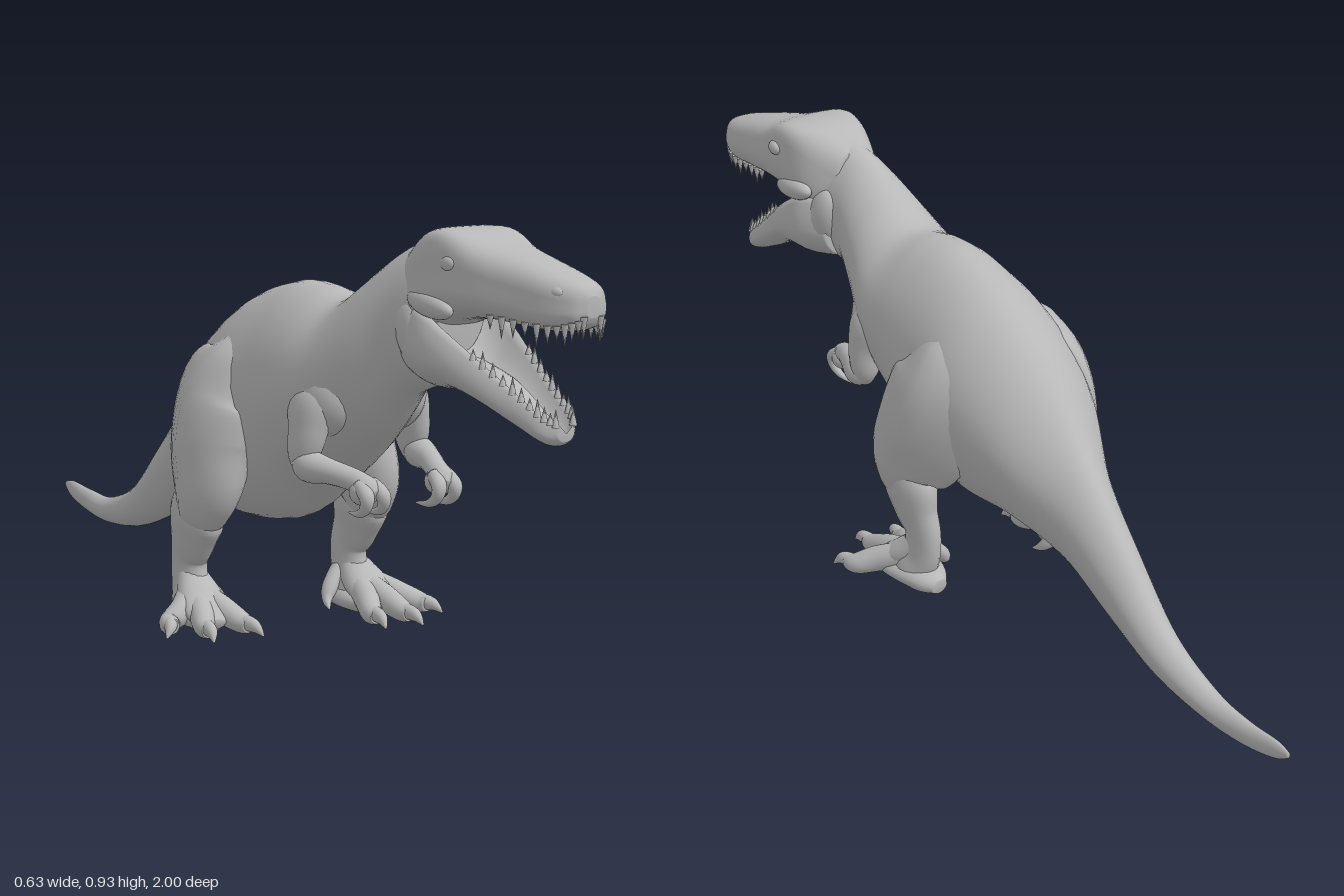
import * as THREE from 'three';

const hide = new THREE.MeshStandardMaterial({ color: 0xb8b8b8 });
hide.name = 'grey hide';

// Catmull-Rom sample of a table of sections, u from 0 to 1
function sample(rows, u) {
  const n = rows.length - 1;
  const i = Math.min(Math.floor(u * n), n - 1), t = u * n - i;
  const at = k => rows[Math.max(0, Math.min(n, k))];
  return rows[i].map((p1, k) => {
    const p0 = at(i - 1)[k], p2 = at(i + 1)[k], p3 = at(i + 2)[k];
    return p1 + 0.5 * t * (p2 - p0 + t * (2 * p0 - 5 * p1 + 4 * p2 - p3 + t * (3 * (p1 - p2) + p3 - p0)));
  });
}

const round = (c, s) => [c, s];

// Skin stretched over sections [x, y, z, side radius, other radius]
function loft(name, rows, { steps = 6, sides = 20, shape = round, upright = false } = {}) {
  const count = (rows.length - 1) * steps, pos = [], idx = [];
  const X = new THREE.Vector3(1, 0, 0);
  for (let i = 0; i <= count; i++) {
    const u = i / count, r = sample(rows, u);
    const a = sample(rows, Math.max(0, u - 0.01)), b = sample(rows, Math.min(1, u + 0.01));
    const T = upright ? new THREE.Vector3(0, 0, 1)
      : new THREE.Vector3(b[0] - a[0], b[1] - a[1], b[2] - a[2]).normalize();
    const side = X.clone().addScaledVector(T, -T.x).normalize();
    const up = T.clone().cross(side);
    for (let j = 0; j < sides; j++) {
      const q = j / sides * Math.PI * 2;
      const [c, s] = shape(Math.cos(q), Math.sin(q), u);
      const p = new THREE.Vector3(r[0], r[1], r[2])
        .addScaledVector(side, c * Math.max(r[3], 0.001)).addScaledVector(up, s * Math.max(r[4], 0.001));
      pos.push(p.x, p.y, p.z);
    }
  }
  for (let i = 0; i < count; i++) for (let j = 0; j < sides; j++) {
    const k = (j + 1) % sides, a = i * sides + j, b = i * sides + k;
    idx.push(a, b, b + sides, a, b + sides, a + sides);
  }
  const end = count * sides, c0 = pos.length / 3;
  pos.push(...rows[0].slice(0, 3), ...rows[rows.length - 1].slice(0, 3));
  for (let j = 0; j < sides; j++) {
    const k = (j + 1) % sides;
    idx.push(c0, k, j, c0 + 1, end + j, end + k);
  }
  const g = new THREE.BufferGeometry();
  g.setAttribute('position', new THREE.Float32BufferAttribute(pos, 3));
  g.setIndex(idx);
  g.computeVertexNormals();
  const m = new THREE.Mesh(g, hide);
  m.name = name;
  return m;
}

// [z, centre x, bottom, top, half width] to a section
const slice = ([z, x, lo, hi, w]) => [x, (lo + hi) / 2, z, w, (hi - lo) / 2];

function blob(name, x, y, z, rx, ry, rz, tilt = 0) {
  const m = new THREE.Mesh(new THREE.SphereGeometry(1, 20, 14), hide);
  m.position.set(x, y, z);
  m.scale.set(rx, ry, rz);
  m.rotation.x = tilt;
  m.name = name;
  return m;
}

const BODY = [
  [-1, .035, .108, .122, .004], [-.96, .035, .085, .129, .012], [-.87, .035, .066, .122, .021],
  [-.75, .03, .06, .125, .031], [-.6, .028, .08, .187, .043], [-.45, .022, .134, .32, .058],
  [-.3, .018, .203, .465, .082], [-.15, .013, .235, .626, .147], [0, .01, .225, .727, .182],
  [.15, .01, .25, .775, .174], [.25, .01, .32, .775, .167], [.35, .01, .40, .762, .156],
  [.45, .012, .485, .825, .12], [.53, .022, .57, .88, .09], [.6, .035, .61, .9, .08], [.66, .045, .68, .88, .06],
].map(slice);
const SKULL = [
  [.55, .03, .70, .88, .06], [.62, .045, .72, .925, .096], [.70, .055, .75, .93, .104], [.78, .065, .76, .905, .095],
  [.86, .075, .755, .885, .08], [.94, .085, .753, .862, .067], [.985, .09, .765, .845, .045], [1, .09, .785, .825, .015],
].map(slice);
const JAW = [
  [.56, .04, .62, .77, .08], [.63, .048, .605, .775, .11], [.70, .055, .607, .735, .105], [.77, .065, .585, .685, .085],
  [.84, .08, .55, .63, .062], [.9, .09, .525, .585, .045], [.925, .095, .535, .568, .02],
].map(slice);

const egg = (c, s) => [c * (s > 0 ? 1 - 0.16 * s * s : 1), s];
// Thigh section that thins toward the rear
const haunch = (c, s) => [c * (s < 0 ? 1 + 0.5 * s : 1), s];
// Box-like skull with brow crests at its upper corners
const crested = (c, s, u) => {
  const k = s > 0 ? Math.exp(-(((u - 0.27) / 0.13) ** 2)) : 0;
  return [Math.sign(c) * Math.abs(c) ** 0.7 * (s > 0 ? 0.95 : 1) * (1 + 0.13 * k * s),
    Math.sign(s) * Math.abs(s) ** 0.75 * (1 + 0.42 * k * c * c)];
};
const trough = (c, s, u) => {
  const open = Math.min(1, u * 3);
  return [c, s < 0 ? s : s < 0.6 ? s / 0.6 : 1 - 3.6 * open * (s - 0.6)];
};

function tooth(x, y, z, len, down) {
  const m = new THREE.Mesh(new THREE.ConeGeometry(0.008, len, 7), hide);
  m.position.set(x, y + (down ? -len : len) * 0.4, z);
  if (down) m.rotation.x = Math.PI;
  m.name = 'tooth';
  return m;
}

function makeHead() {
  const head = new THREE.Group();
  head.name = 'head';
  head.add(loft('skull', SKULL, { shape: crested, sides: 40, upright: true }));
  head.add(loft('lowerJaw', JAW, { shape: trough, sides: 40, upright: true }));
  head.add(loft('tongue', [[.055, .655, .66, .04, .02], [.068, .625, .77, .035, .015], [.085, .57, .87, .018, .008]]));
  for (const s of [-1, 1]) {
    // Eye, nostril rim, cheek and jaw muscle
    head.add(blob('eye', .06 + s * .093, .868, .715, .014, .017, .022));
    head.add(blob('nostril', .086 + s * .044, .83, .945, .014, .014, .024));
    head.add(blob('cheek', .052 + s * .088, .782, .66, .024, .026, .07, .15));
    head.add(blob('jawMuscle', .04 + s * .06, .72, .595, .038, .085, .05, -.4));
    // Teeth along both jaws
    for (let i = 0; i < 11; i++) {
      const a = sample(SKULL, .48 + i * .046), len = .03 + .016 * ((i * 5) % 3) / 2;
      head.add(tooth(a[0] + s * a[3] * .8, a[1] - a[4] * .8, a[2], len, true));
      const b = sample(JAW, .48 + i * .046);
      head.add(tooth(b[0] + s * b[3] * .8, b[1] + b[4] * .85, b[2], len * .8, false));
    }
  }
  return head;
}

function makeLeg(s) {
  const leg = new THREE.Group();
  leg.name = s > 0 ? 'leftLeg' : 'rightLeg';
  const back = s > 0 ? 0 : 0.095, heel = s > 0 ? 0.01 : 0.06;
  // Mirror a path and set the right leg a stride behind
  const path = rows => rows.map(([x, y, z, a, b]) =>
    [s * x + (s < 0 ? 0.006 : 0), y, z - back * THREE.MathUtils.clamp((0.6 - y) / 0.3, 0, 1), a, b]);
  leg.add(loft('thigh', path([
    [.075, .67, .05, .02, .03], [.095, .6, .05, .075, .1], [.13, .51, .05, .092, .15], [.158, .41, .085, .09, .145],
    [.182, .33, .125, .07, .118], [.19, .275, .13, .057, .085], [.188, .235, .115, .035, .05]]),
  { sides: 28, shape: haunch }));
  leg.add(loft('shin', path([
    [.19, .31, .14, .045, .06], [.19, .255, .115, .049, .082], [.19, .2, .095, .041, .068], [.186, .15, .075, .035, .054],
    [.187, .095, .08, .037, .054], [.19, .05, .1, .05, .055], [.19, .02, .11, .045, .04]])));
  // Sole and instep, three spread toes with claws, and the small inner toe
  leg.add(loft('sole', path([[.185, .03, heel, .02, .018], [.188, .034, heel + .035, .045, .03],
    [.19, .036, .11, .062, .032], [.198, .034, .17, .056, .028], [.205, .03, .21, .02, .018]])));
  leg.add(loft('instep', path([[.188, .12, .08, .03, .03], [.192, .075, .125, .052, .036], [.2, .045, .18, .055, .026],
    [.207, .03, .22, .02, .012]])));
  const toes = s > 0
    ? [[.285, .225, .314, .262], [.208, .27, .215, .322], [.14, .25, .128, .302]]
    : [[.283, .17, .32, .2], [.236, .238, .252, .284], [.15, .25, .135, .3]];
  for (const [x, z, tx, tz] of toes) {
    leg.add(loft('toe', path([[.188, .085, .08, .024, .03], [.19 + (x - .19) * .55, .052, .1 + (z - .1) * .5, .028, .031],
      [x, .031, z - .02, .024, .025], [x + (tx - x) * .3, .029, z + .008, .017, .018]])));
    leg.add(loft('claw', path([[x, .033, z - .02, .017, .018], [(x + tx) / 2, .03, (z + tz) / 2, .013, .015],
      [tx, .012, tz, .002, .002]])));
  }
  leg.add(loft('innerToe', path([[.16, .1, .07, .015, .02], [.128, .06, .085, .018, .02], [.11, .035, .1, .011, .012],
    [.1, .02, .125, .002, .002]])));
  return leg;
}

function makeArm(s) {
  const arm = new THREE.Group();
  arm.name = s > 0 ? 'leftArm' : 'rightArm';
  const path = rows => rows.map(([x, ...rest]) => [s * x + .01, ...rest]);
  arm.add(loft('upperArm', path([[.085, .6, .34, .02, .03], [.114, .55, .355, .045, .062], [.132, .49, .362, .038, .05],
    [.14, .44, .36, .032, .038], [.14, .405, .37, .02, .024]])));
  arm.add(loft('forearm', path([[.143, .425, .345, .018, .018], [.142, .42, .38, .033, .034], [.125, .415, .44, .026, .026],
    [.105, .405, .49, .024, .024], [.095, .39, .525, .026, .026], [.09, .38, .545, .012, .012]])));
  arm.add(blob('hand', .01 + s * .096, .385, .515, .034, .03, .03, .6));
  // Two hooked fingers
  for (const d of [-1, 1]) {
    arm.add(loft('finger', path([[.095 + d * .014, .4, .515, .016, .016], [.092 + d * .02, .38, .545, .016, .016],
      [.09 + d * .022, .355, .54, .012, .013], [.088 + d * .022, .34, .515, .008, .008], [.086 + d * .02, .335, .475, .002, .002]])));
  }
  return arm;
}

export function createModel() {
  const model = new THREE.Group();
  model.name = 'dinosaur';
  model.add(loft('bodyAndTail', BODY, { shape: egg, sides: 36, upright: true }));
  model.add(makeHead());
  for (const s of [-1, 1]) {
    model.add(makeLeg(s), makeArm(s));
    model.add(blob('shoulder', .01 + s * .09, .555, .355, .062, .085, .09, -.4));
  }
  return model;
}
